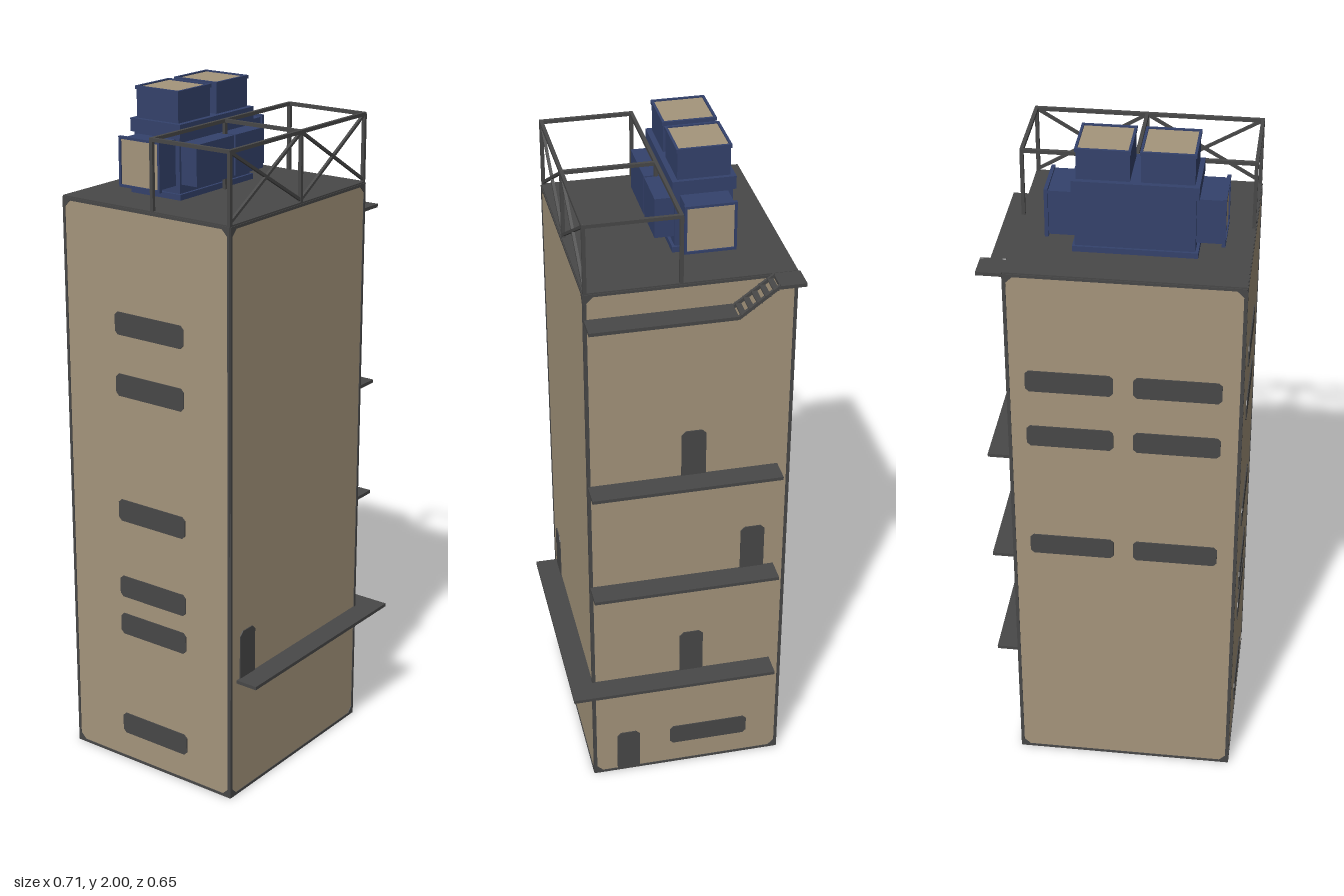
import * as THREE from 'three';

export function createModel() {
  const model = new THREE.Group();
  model.name = 'tower';
  const mat = (name, color) => {
    const m = new THREE.MeshStandardMaterial({ color, side: THREE.DoubleSide });
    m.name = name;
    return m;
  };
  const tan = mat('sandyWall', 0xa5957c);
  const dark = mat('darkSteel', 0x484848);
  const blue = mat('blueMetal', 0x34426c);

  // Tower footprint and height
  const X0 = -0.355, X1 = 0.285, Z0 = -0.32, Z1 = 0.257, H = 1.7;
  const W = X1 - X0, D = Z1 - Z0, CX = (X0 + X1) / 2, CZ = (Z0 + Z1) / 2;

  const add = (name, geo, material, parent = model) => {
    const m = new THREE.Mesh(geo, material);
    m.name = name;
    parent.add(m);
    return m;
  };
  // Box given by its two extreme corners
  const box = (name, material, [x0, y0, z0], [x1, y1, z1], parent) => {
    const m = add(name, new THREE.BoxGeometry(x1 - x0, y1 - y0, z1 - z0), material, parent);
    m.position.set((x0 + x1) / 2, (y0 + y1) / 2, (z0 + z1) / 2);
    return m;
  };
  // Square bar between two points
  const bar = (name, a, b, t, parent) => {
    const p = new THREE.Vector3(...a), q = new THREE.Vector3(...b);
    const m = add(name, new THREE.BoxGeometry(t, t, p.distanceTo(q) + t * 0.8), dark, parent);
    m.position.copy(p).lerp(q, 0.5);
    m.lookAt(q);
    return m;
  };
  // Rectangle with cut corners, bottom corners optional
  const cutRect = (C, w, h, c, cb = c) => {
    const s = new C(), x = w / 2;
    const pts = [[-x + cb, 0], [x - cb, 0], [x, cb], [x, h - c], [x - c, h], [-x + c, h], [-x, h - c], [-x, cb]];
    s.setFromPoints(pts.map(p => new THREE.Vector2(...p)));
    s.closePath();
    return s;
  };

  // Each face: a frame whose local x runs along the wall and z points out
  const face = (name, x, z, turn) => {
    const g = new THREE.Group();
    g.name = name;
    g.position.set(x, 0, z);
    g.rotation.y = turn;
    model.add(g);
    return g;
  };
  const front = face('frontWall', CX, Z1, 0), back = face('backWall', CX, Z0, Math.PI);
  const left = face('leftWall', X1, CZ, Math.PI / 2), right = face('rightWall', X0, CZ, -Math.PI / 2);

  // Walls, open at the bottom, with thin edge trim
  for (const [g, w] of [[front, W], [back, W], [left, D], [right, D]]) {
    add('wallPanel', new THREE.PlaneGeometry(w, H), tan, g).position.y = H / 2;
    const trim = cutRect(THREE.Shape, w, H, 0);
    const hole = cutRect(THREE.Path, w - 0.016, H - 0.016, 0.018);
    hole.curves.forEach(c => { c.v1 = c.v1.clone(); c.v2 = c.v2.clone(); c.v1.y += 0.008; c.v2.y += 0.008; });
    trim.holes.push(hole);
    add('edgeTrim', new THREE.ExtrudeGeometry(trim, { depth: 0.004, bevelEnabled: false }), dark, g)
      .position.z = -0.002;
  }
  box('roof', dark, [X0, H - 0.008, Z0], [X1, H + 0.004, Z1]);

  // Doors and windows are thin plates seen from both sides of the wall
  const plate = (name, g, shape, x, y) => {
    const geo = new THREE.ExtrudeGeometry(shape, { depth: 0.006, bevelEnabled: false });
    add(name, geo, dark, g).position.set(x, y, -0.003);
  };
  const door = (g, x, y) => plate('door', g, cutRect(THREE.Shape, 0.07, 0.148, 0.012, 0), x, y);
  const win = (g, x, y) => plate('window', g, cutRect(THREE.Shape, 0.24, 0.066, 0.01), x, y - 0.033);
  door(front, -0.275 - CX, 0.368);
  for (const [z, y] of [[0.15, 0.002], [-0.043, 0.368], [-0.22, 0.73], [-0.043, 1.087]]) door(left, CZ - z, y);
  win(left, CZ + 0.1, 0.112);
  for (const y of [1.37, 1.19, 0.81]) for (const x of [0.115, -0.18]) win(back, CX - x, y);
  for (const y of [1.37, 1.19, 0.81, 0.57, 0.45, 0.12]) win(right, -0.02 - CZ, y);

  // Walkways along the left wall, the lowest wrapping round the front
  const XE = 0.355, T = 0.005;
  const ledge = (y, x0, x1, z0, z1) => box('walkway', dark, [x0, y - T, z0], [x1, y + T, z1]);
  ledge(0.366, X1, XE, -0.285, 0.325);
  ledge(0.366, -0.325, X1, Z1, 0.325);
  ledge(0.728, X1, XE, -0.285, Z1);
  ledge(1.084, X1, XE, -0.285, Z1);
  ledge(1.62, X1, XE, -0.143, Z1);
  ledge(H - 0.002, X1, XE, -0.325, -0.252);

  // Stair from the top walkway to the roof landing
  const stair = new THREE.Group();
  stair.name = 'stair';
  model.add(stair);
  for (const x of [X1 + 0.005, XE - 0.005]) bar('stringer', [x, 1.62, -0.145], [x, H, -0.252], 0.009, stair);
  for (let i = 0; i < 5; i++) {
    const t = (i + 0.5) / 5, y = 1.62 + 0.08 * t, z = -0.145 - 0.107 * t;
    box('tread', dark, [X1, y - 0.002, z - 0.008], [XE, y + 0.002, z + 0.008], stair);
  }

  // Roof railing in two bays with crossed braces at the front
  const rail = new THREE.Group();
  rail.name = 'roofRailing';
  model.add(rail);
  const xs = [X0 + 0.005, -0.03, X1 - 0.005], zf = Z1 - 0.005, zb = -0.005, top = 1.897;
  for (const z of [zf, zb]) bar('topRail', [xs[0], top, z], [xs[2], top, z], 0.01, rail);
  for (const x of xs) {
    bar('crossRail', [x, top, zf], [x, top, zb], 0.01, rail);
    for (const z of [zf, zb]) box('post', dark, [x - 0.005, H, z - 0.005], [x + 0.005, top, z + 0.005], rail);
  }
  for (let i = 0; i < 2; i++) {
    bar('brace', [xs[i], H + 0.01, zf], [xs[i + 1], top, zf], 0.008, rail);
    bar('brace', [xs[i], top, zf], [xs[i + 1], H + 0.01, zf], 0.008, rail);
  }

  // Rooftop ventilation unit
  const unit = new THREE.Group();
  unit.name = 'ventilationUnit';
  model.add(unit);
  box('unitBody', blue, [-0.207, H, -0.183], [0.113, 1.9, -0.025], unit);
  box('unitBase', blue, [-0.215, H, -0.19], [0.12, 1.72, -0.017], unit);
  box('unitRim', blue, [-0.215, 1.875, -0.19], [0.12, 1.912, -0.017], unit);
  for (const x of [-0.2, -0.025]) box('frontBox', blue, [x, 1.745, -0.03], [x < -0.1 ? -0.032 : 0.105, 1.86, 0.028], unit);

  // Duct with an open rim and a tan filter set inside; local y points out
  const duct = (name, w, d, len, rim) => {
    const g = new THREE.Group();
    g.name = name;
    unit.add(g);
    box('ductBody', blue, [-w / 2 + rim, 0, -d / 2 + rim], [w / 2 - rim, len - 0.006, d / 2 - rim], g);
    const s = new THREE.Shape([[-w, -d], [w, -d], [w, d], [-w, d]].map(p => new THREE.Vector2(p[0] / 2, p[1] / 2)));
    const a = w / 2 - 0.007, b = d / 2 - 0.007;
    s.holes.push(new THREE.Path([[-a, -b], [-a, b], [a, b], [a, -b]].map(p => new THREE.Vector2(...p))));
    const ring = add('ductRim', new THREE.ExtrudeGeometry(s, { depth: 0.01, bevelEnabled: false }), blue, g);
    ring.rotation.x = -Math.PI / 2;
    ring.position.y = len - 0.01;
    box('filter', tan, [-a, len - 0.007, -b], [a, len - 0.004, b], g);
    return g;
  };
  for (const x of [-0.132, 0.038]) duct('roofStack', 0.147, 0.15, 0.09, 0.003).position.set(x, 1.91, -0.104);
  const sideL = duct('sideDuct', 0.14, 0.142, 0.082, 0.006);
  sideL.rotation.z = -Math.PI / 2;
  sideL.position.set(0.112, 1.805, -0.104);
  const sideR = duct('sideDuct', 0.14, 0.142, 0.08, 0.006);
  sideR.rotation.z = Math.PI / 2;
  sideR.position.set(-0.205, 1.805, -0.104);

  return model;
}
